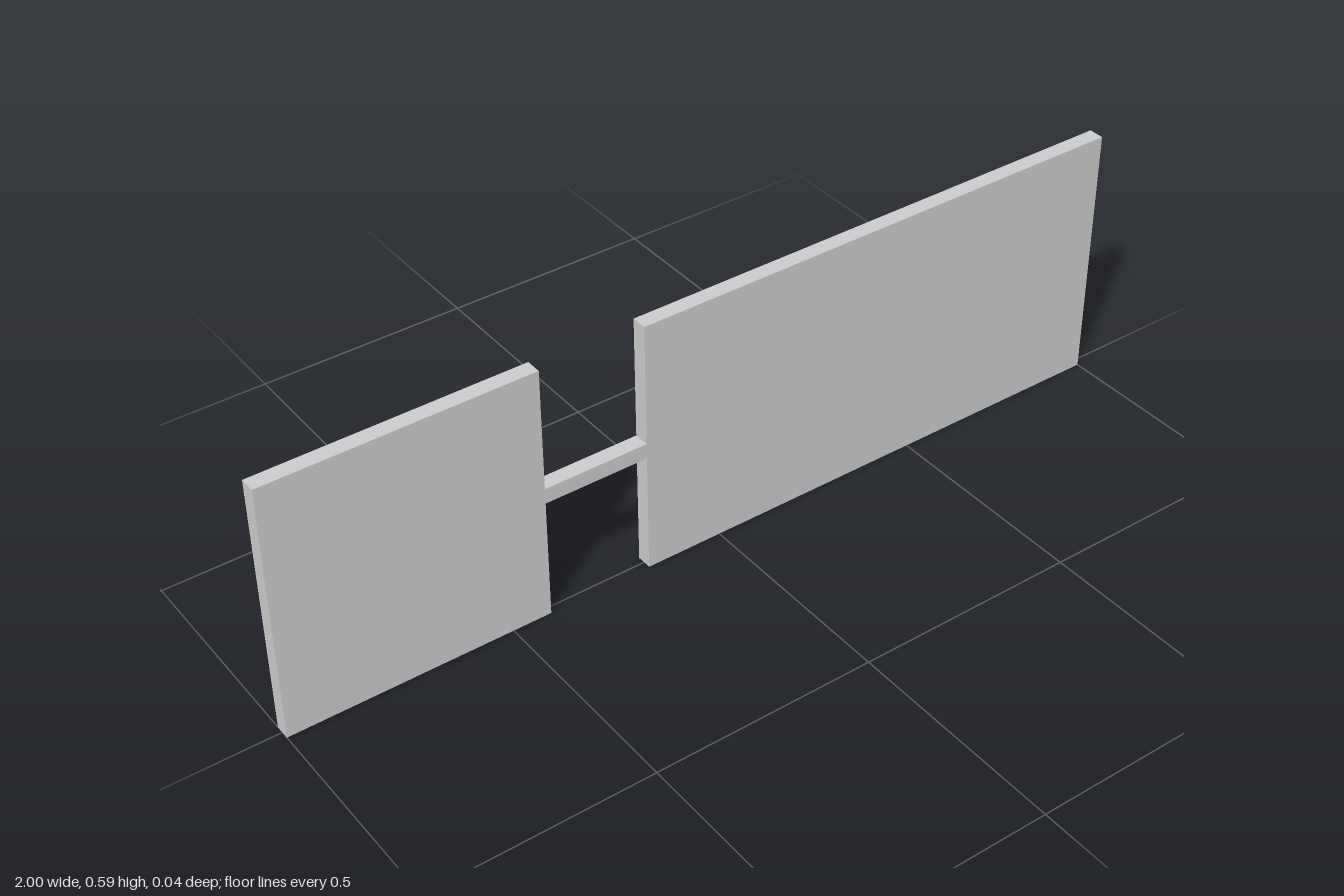
import * as THREE from 'three';

const HEIGHT = 0.588;
const THICKNESS = 0.035;

export function createModel() {
  const model = new THREE.Group();
  model.name = 'linkedPlates';
  const material = new THREE.MeshStandardMaterial({ color: 0xcccccc, flatShading: true });

  // A slab spanning x0..x1, centred on the plates' mid-height
  function addSlab(name, x0, x1, height) {
    const mesh = new THREE.Mesh(new THREE.BoxGeometry(x1 - x0, height, THICKNESS), material);
    mesh.name = name;
    mesh.position.set((x0 + x1) / 2, HEIGHT / 2, 0);
    model.add(mesh);
  }

  addSlab('squarePlate', -1, -0.412, HEIGHT);
  addSlab('connectingBar', -0.412, -0.176, THICKNESS);
  addSlab('longPlate', -0.176, 1, HEIGHT);

  return model;
}
